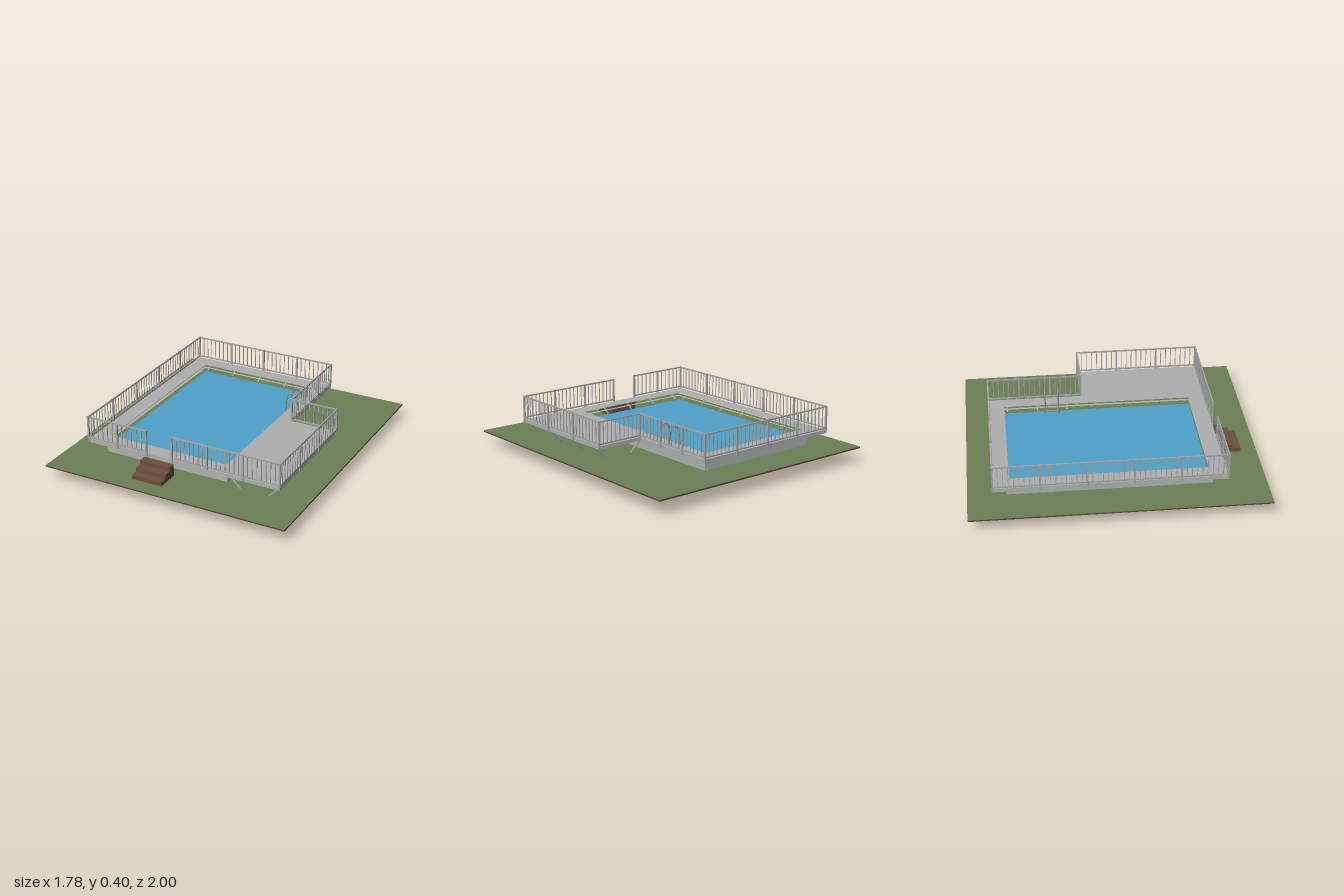
import * as THREE from 'three';
import { mergeGeometries } from 'three/addons/utils/BufferGeometryUtils.js';

const mat = (name, color, side = THREE.FrontSide) => {
  const m = new THREE.MeshStandardMaterial({ color, side });
  m.name = name;
  return m;
};

const rect = (x0, x1, z0, z1) => [[x0, z0], [x1, z0], [x1, z1], [x0, z1]];

// Horizontal slab from an outline in x and z, with an optional hole
function slab(outline, hole, y, h) {
  const pts = (list) => list.map(([x, z]) => new THREE.Vector2(x, -z));
  const shape = new THREE.Shape(pts(outline));
  if (hole) shape.holes.push(new THREE.Path(pts(hole)));
  const g = new THREE.ExtrudeGeometry(shape, { depth: h, bevelEnabled: false });
  return g.rotateX(-Math.PI / 2).translate(0, y, 0);
}

// Square bar between two points
function bar(a, b, t) {
  const from = new THREE.Vector3(...a), to = new THREE.Vector3(...b);
  const dir = to.clone().sub(from);
  const g = new THREE.BoxGeometry(t, t, dir.length());
  const m = new THREE.Object3D();
  m.position.copy(from).add(to).multiplyScalar(0.5);
  m.lookAt(to);
  m.updateMatrix();
  return g.applyMatrix4(m.matrix);
}

// Vertical bar
const upright = (x, z, y0, y1, t) =>
  new THREE.BoxGeometry(t, y1 - y0, t).translate(x, (y0 + y1) / 2, z);

export function createModel() {
  const model = new THREE.Group();
  model.name = 'raisedPool';
  const grass = mat('grass', 0x6b7f54);
  const soil = mat('soil', 0x5c4636);
  const deckGrey = mat('deckGrey', 0xaeafae);
  const wallGrey = mat('wallGrey', 0xaeb2af);
  const metal = mat('railMetal', 0xa4a4a4);
  const steel = mat('ladderSteel', 0x8c8f92);
  const wood = mat('stepWood', 0x6a4f3d);
  const waterBlue = mat('waterBlue', 0x4fa2c9, THREE.DoubleSide);
  const floorBlue = mat('poolFloorBlue', 0x2a6298, THREE.DoubleSide);

  const add = (name, geometry, material) => {
    const mesh = new THREE.Mesh(geometry, material);
    mesh.name = name;
    model.add(mesh);
  };

  // Ground with the pool cut out
  const pool = rect(-0.61, 0.28, -0.72, 0.61);
  const lot = rect(-0.89, 0.89, -1, 1);
  add('ground', slab(lot, pool, 0.1, 0.009), soil);
  add('lawn', slab(lot, pool, 0.109, 0.003), grass);

  // Pool wall, water surface and sunken floor
  add('poolWall', slab(rect(-0.63, 0.3, -0.74, 0.635), pool, 0.105, 0.096), wallGrey);
  const sheet = (y) => new THREE.PlaneGeometry(0.89, 1.33).rotateX(-Math.PI / 2).translate(-0.165, y, -0.055);
  add('water', sheet(0.172), waterBlue);
  add('poolFloor', sheet(0), floorBlue);

  // L-shaped deck around the pool
  const X0 = -0.72, X1 = 0.72, XN = 0.38, Z0 = -0.83, Z1 = 0.72, ZN = -0.165;
  add('deck', slab([[X0, Z0], [XN, Z0], [XN, ZN], [X1, ZN], [X1, Z1], [X0, Z1]], pool, 0.2, 0.025), deckGrey);

  // Railing runs: start, end, number of bays
  const runs = [
    [[-0.265, Z1], [X0, Z1], 2],
    [[X0, Z1], [X0, Z0], 5],
    [[X0, Z0], [XN, Z0], 4],
    [[XN, Z0], [XN, ZN], 3],
    [[XN, ZN], [X1, ZN], 1],
    [[X1, ZN], [X1, Z1], 3],
    [[X1, Z1], [-0.07, Z1], 3],
  ];
  const posts = [], rails = [], bars = [];
  for (const [a, b, bays] of runs) {
    const at = (t) => [a[0] + (b[0] - a[0]) * t, a[1] + (b[1] - a[1]) * t];
    for (const y of [0.238, 0.39]) rails.push(bar([a[0], y, a[1]], [b[0], y, b[1]], 0.009));
    const bayLength = Math.hypot(b[0] - a[0], b[1] - a[1]) / bays;
    const n = Math.round(bayLength / 0.035);
    for (let i = 0; i <= bays; i++) {
      posts.push(upright(...at(i / bays), 0.202, 0.396, 0.012));
      if (i === bays) break;
      for (let j = 1; j < n; j++) bars.push(upright(...at((i + j / n) / bays), 0.238, 0.39, 0.005));
    }
  }
  add('railingPosts', mergeGeometries(posts), metal);
  add('railingRails', mergeGeometries(rails), metal);
  add('railingBars', mergeGeometries(bars), metal);

  // Short braces from the wall to the deck edge
  const braces = [];
  for (const x of [-0.6, -0.385, -0.17, 0.045, 0.26]) {
    braces.push(bar([x, 0.168, 0.635], [x, 0.202, 0.685], 0.008));
    braces.push(bar([x, 0.168, -0.74], [x, 0.202, -0.79], 0.008));
  }
  for (let i = 0; i < 7; i++) {
    const z = -0.7 + i * 0.215;
    braces.push(bar([-0.63, 0.168, z], [-0.68, 0.202, z], 0.008));
    if (i < 3) braces.push(bar([0.3, 0.168, z], [0.345, 0.202, z], 0.008));
  }
  add('wallBraces', mergeGeometries(braces), metal);

  // Long slanted legs under the deck extension
  const legs = [];
  for (const z of [-0.11, 0.15, 0.41, 0.67]) {
    legs.push(bar([0.71, 0.205, z], [0.615, 0.108, z], 0.009));
    legs.push(bar([0.32, 0.205, z], [0.415, 0.108, z], 0.009));
  }
  add('deckLegs', mergeGeometries(legs), metal);

  // Solid wooden steps
  for (let i = 0; i < 3; i++) {
    const h = 0.029 * (i + 1), zFront = 0.888 - i * 0.055;
    const g = new THREE.BoxGeometry(0.225, h, 0.055);
    add('step' + (i + 1), g.translate(-0.1675, 0.111 + h / 2, zFront - 0.0275), wood);
  }

  // Pool ladder: two hooped rails and rungs
  const path = [[0.34, 0.222], [0.343, 0.29], [0.33, 0.33], [0.3, 0.345], [0.272, 0.33], [0.26, 0.29],
    [0.253, 0.2], [0.251, 0.1], [0.252, 0.05], [0.257, 0.03], [0.267, 0.023]];
  const ladderZ = [-0.43, -0.335];
  for (const z of ladderZ) {
    const curve = new THREE.CatmullRomCurve3(path.map(([x, y]) => new THREE.Vector3(x, y, z)));
    add('ladderRail', new THREE.TubeGeometry(curve, 48, 0.005, 8), steel);
  }
  for (const y of [0.078, 0.125, 0.19]) {
    const g = new THREE.BoxGeometry(0.018, 0.006, 0.095);
    add('ladderRung', g.translate(0.25, y, -0.3825), steel);
  }
  return model;
}
